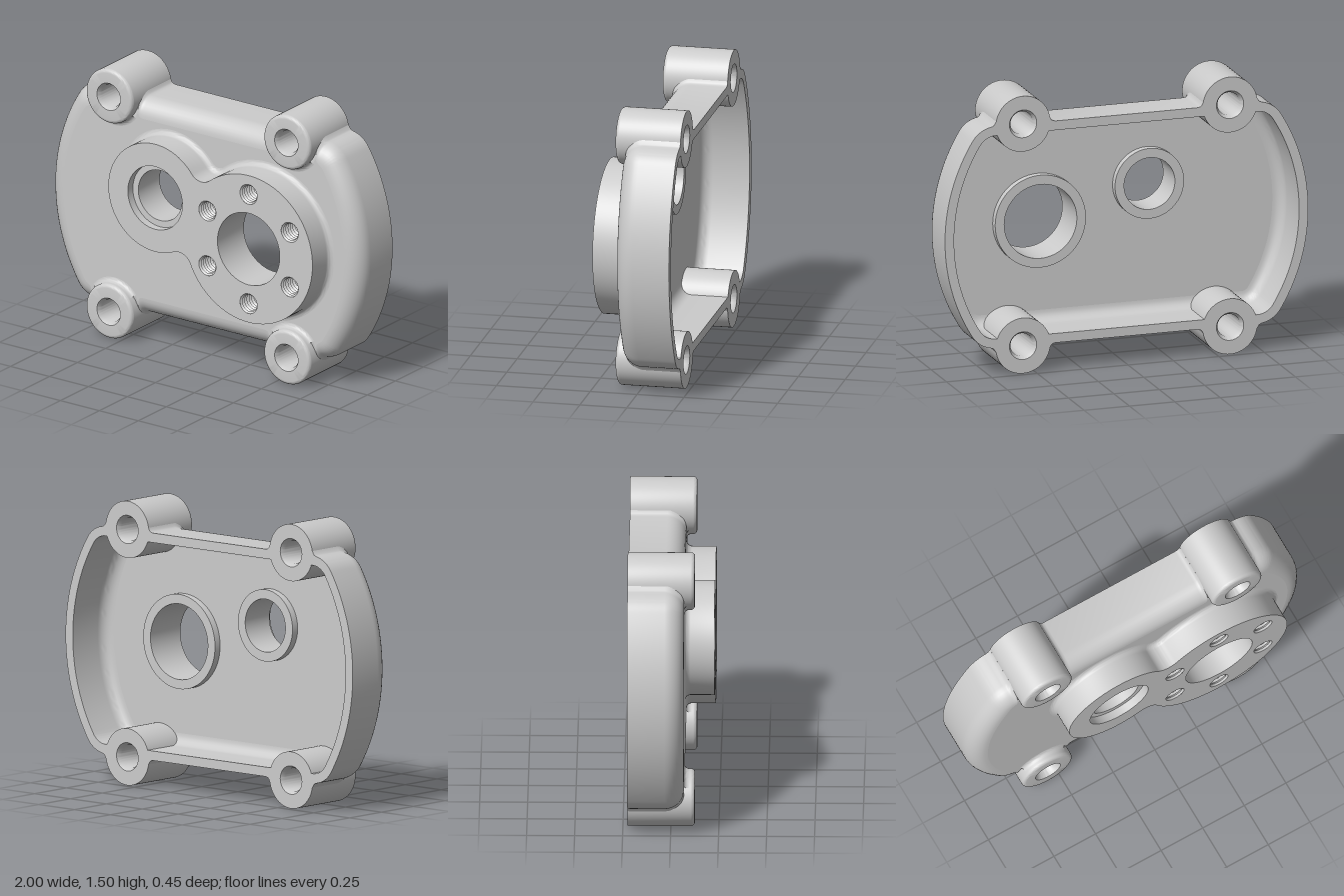
import * as THREE from 'three';
import { toCreasedNormals } from 'three/addons/utils/BufferGeometryUtils.js';

const CY = 0.75;                       // height of the cover's centre
const BACK = -0.225, FACE = 0.07, FLOOR = 0.03, PAD = 0.225;
const BOSS = { x: 0.57, y: 0.6, r: 0.15 };
const BIG = { x: 0.4, y: 0.75, r: 0.41 }, SMALL = { x: -0.2, y: 0.9, r: 0.3 };
const V = (x, y) => new THREE.Vector2(x, y);

// points of an arc, end excluded
function arc(cx, cy, r, a0, a1, n) {
  return Array.from({ length: n }, (_, i) => {
    const a = a0 + (a1 - a0) * i / n;
    return V(cx + r * Math.cos(a), cy + r * Math.sin(a));
  });
}

// quarter-round run of [offset, z] pairs
function round(cd, cz, r, a0, a1, n = 7) {
  return Array.from({ length: n + 1 }, (_, i) => {
    const a = a0 + (a1 - a0) * i / n;
    return [cd + r * Math.cos(a), cz + r * Math.sin(a)];
  });
}

// cover outline inset by d: big side arcs, rounded corners, straight top and
// bottom, cut back inside the bosses and (outside) filleted up to them
function coverLoop(d, outside) {
  const cr = 0.15, cx = Math.sqrt(0.85 ** 2 - 0.45 ** 2), split = Math.atan2(0.45, cx);
  const bite = 0.11 + d * 0.2, f = 0.03;
  const far = Math.sqrt((BOSS.r + f) ** 2 - f * f), near = far * BOSS.r / (BOSS.r + f);
  const q = [];
  for (let i = 0; i < 20; i++) {
    const a = split * (i + 0.5) / 20;
    q.push(V((1 - d) * Math.cos(a), (1 - d) * Math.sin(a)));
  }
  q.push(...arc(cx, 0.45, cr - d, split, Math.PI / 2, 16));
  const xs = [near, bite + 0.003];
  for (let i = 0; i <= 20; i++) xs.push(bite * Math.cos(Math.PI * i / 20));
  xs.push(-bite - 0.003, -near, -0.155, -0.163, -far);
  xs.forEach(x => q.push(V(BOSS.x + x, 0.6 - d)));
  for (const p of q) {
    const dx = Math.abs(p.x - BOSS.x);
    if (p.y < 0.3) continue;
    if (dx <= bite + 1e-6) {
      p.y = Math.min(p.y, BOSS.y - Math.sqrt(Math.max(0, bite * bite - dx * dx)));
    } else if (outside && dx >= near - 1e-6 && dx < far) {
      p.y += f - Math.sqrt(Math.max(0, f * f - (dx - far) ** 2));
    }
  }
  const rev = [...q].reverse();
  return [
    ...q.map(p => V(p.x, CY + p.y)), ...rev.map(p => V(-p.x, CY + p.y)),
    ...q.map(p => V(-p.x, CY - p.y)), ...rev.map(p => V(p.x, CY - p.y)),
  ];
}

// two joined discs with filleted waist, grown by e
function padLoop(e) {
  const f = 0.08, A = SMALL, B = BIG, D = Math.hypot(B.x - A.x, B.y - A.y);
  const base = Math.atan2(B.y - A.y, B.x - A.x);
  const ra = A.r + f, rb = B.r + f;
  const ta = Math.acos((D * D + ra * ra - rb * rb) / (2 * D * ra));
  const tb = Math.acos((D * D + rb * rb - ra * ra) / (2 * D * rb));
  const top = base + ta, low = base - ta, bTop = base + Math.PI - tb, bLow = base - Math.PI + tb;
  const c = a => [A.x + ra * Math.cos(a), A.y + ra * Math.sin(a)];
  return [
    ...arc(A.x, A.y, A.r + e, top, low + 2 * Math.PI, 48),
    ...arc(...c(low), f - e, low + Math.PI, bLow + Math.PI, 16),
    ...arc(B.x, B.y, B.r + e, bLow, bTop, 64),
    ...arc(...c(top), f - e, bTop + Math.PI, top + Math.PI, 16),
  ];
}

// skin between successive closed loops [{pts, z}]
function loft(rings) {
  const n = rings[0].pts.length, pos = [], idx = [];
  rings.forEach(r => r.pts.forEach(p => pos.push(p.x, p.y, r.z)));
  for (let k = 0; k < rings.length - 1; k++) {
    for (let i = 0; i < n; i++) {
      const a = k * n + i, b = k * n + (i + 1) % n;
      idx.push(a, b, b + n, a, b + n, a + n);
    }
  }
  const g = new THREE.BufferGeometry();
  g.setAttribute('position', new THREE.Float32BufferAttribute(pos, 3));
  g.setIndex(idx);
  return toCreasedNormals(g, 0.6);
}

// flat face with round holes [x, y, r]
function face(pts, holes, z, flip) {
  const s = new THREE.Shape(pts);
  holes.forEach(h => s.holes.push(new THREE.Path(arc(h[0], h[1], h[2], 0, 2 * Math.PI, 64))));
  const g = new THREE.ShapeGeometry(s);
  if (flip) g.index.array.reverse();
  g.computeVertexNormals();
  return g.translate(0, 0, z);
}

// profile of [radius, z] turned about the z axis
function turned(profile, segs = 64, start = 0, length = 2 * Math.PI) {
  const g = new THREE.LatheGeometry(profile.map(p => V(p[0], p[1])), segs, start, length);
  g.deleteAttribute('normal');
  return toCreasedNormals(g.rotateX(Math.PI / 2), 0.6);
}

export function createModel() {
  const model = new THREE.Group();
  const mat = new THREE.MeshStandardMaterial({ color: 0xcccccc });
  const add = (name, geo, x = 0, y = 0) => {
    const m = new THREE.Mesh(geo, mat);
    m.name = name;
    m.position.set(x, y, 0);
    model.add(m);
  };
  const H = Math.PI / 2;

  // hollow cover: inner wall, back rim, outer wall with rounded front edge
  const inner = [...round(0.11, FLOOR - 0.06, 0.06, H, 2 * H), [0.05, BACK]];
  const outer = [[0, BACK], ...round(0.1, FACE - 0.1, 0.1, 2 * H, H, 9)];
  add('coverShell', loft([
    ...inner.map(([d, z]) => ({ pts: coverLoop(d, false), z })),
    ...outer.map(([d, z]) => ({ pts: coverLoop(d, true), z })),
  ]));
  add('coverFront', face(coverLoop(0.1, true),
    [[BIG.x, BIG.y, 0.2], [SMALL.x, SMALL.y, 0.175]], FACE));
  add('coverFloor', face(coverLoop(0.11, false),
    [[BIG.x, BIG.y, 0.2], [SMALL.x, SMALL.y, 0.14]], FLOOR, true));

  // raised pad with a fillet at its foot
  const foot = round(0.03, FACE + 0.03, 0.03, -H, -2 * H);
  add('padWall', loft([...foot, [0, PAD]].map(([e, z]) => ({ pts: padLoop(e), z }))));
  const bolts = Array.from({ length: 6 }, (_, i) => {
    const a = H + i * Math.PI / 3;
    return [BIG.x + 0.305 * Math.cos(a), BIG.y + 0.305 * Math.sin(a), 0.055];
  });
  add('padFace', face(padLoop(0),
    [[BIG.x, BIG.y, 0.2], [SMALL.x, SMALL.y, 0.175], ...bolts], PAD));

  // bores with collars on the inside
  add('largeBore', turned([[0.2, PAD], [0.2, -0.01], [0.25, -0.01], [0.25, FLOOR]]), BIG.x, BIG.y);
  add('smallBore', turned([[0.175, PAD], [0.175, 0.18], [0.14, 0.18], [0.14, -0.01],
    [0.19, -0.01], [0.19, FLOOR]]), SMALL.x, SMALL.y);

  // blind threaded holes
  const thread = [];
  for (let i = 0; i <= 14; i++) thread.push([i % 2 ? 0.046 : 0.055, PAD - i * 0.01]);
  thread.push([0, PAD - 0.14]);
  bolts.forEach(b => add('threadedHole', turned(thread, 32), b[0], b[1]));

  // four corner bosses, each with a fillet where it meets the front
  const boss = turned([[0.075, BACK], [0.15, BACK], ...round(0.13, 0.105, 0.02, 0, H, 5),
    [0.075, 0.125], [0.061, 0.1], [0.061, BACK + 0.025], [0.075, BACK]]);
  const flare = round(0.175, FACE + 0.025, 0.025, -H, -2 * H, 6);
  for (const sx of [1, -1]) {
    for (const sy of [1, -1]) {
      const x = sx * BOSS.x, y = CY + sy * BOSS.y;
      add('cornerBoss', boss, x, y);
      add('bossFillet', turned(flare, 20, (sy > 0 ? 0 : Math.PI) - 0.9, 1.8), x, y);
    }
  }
  return model;
}
